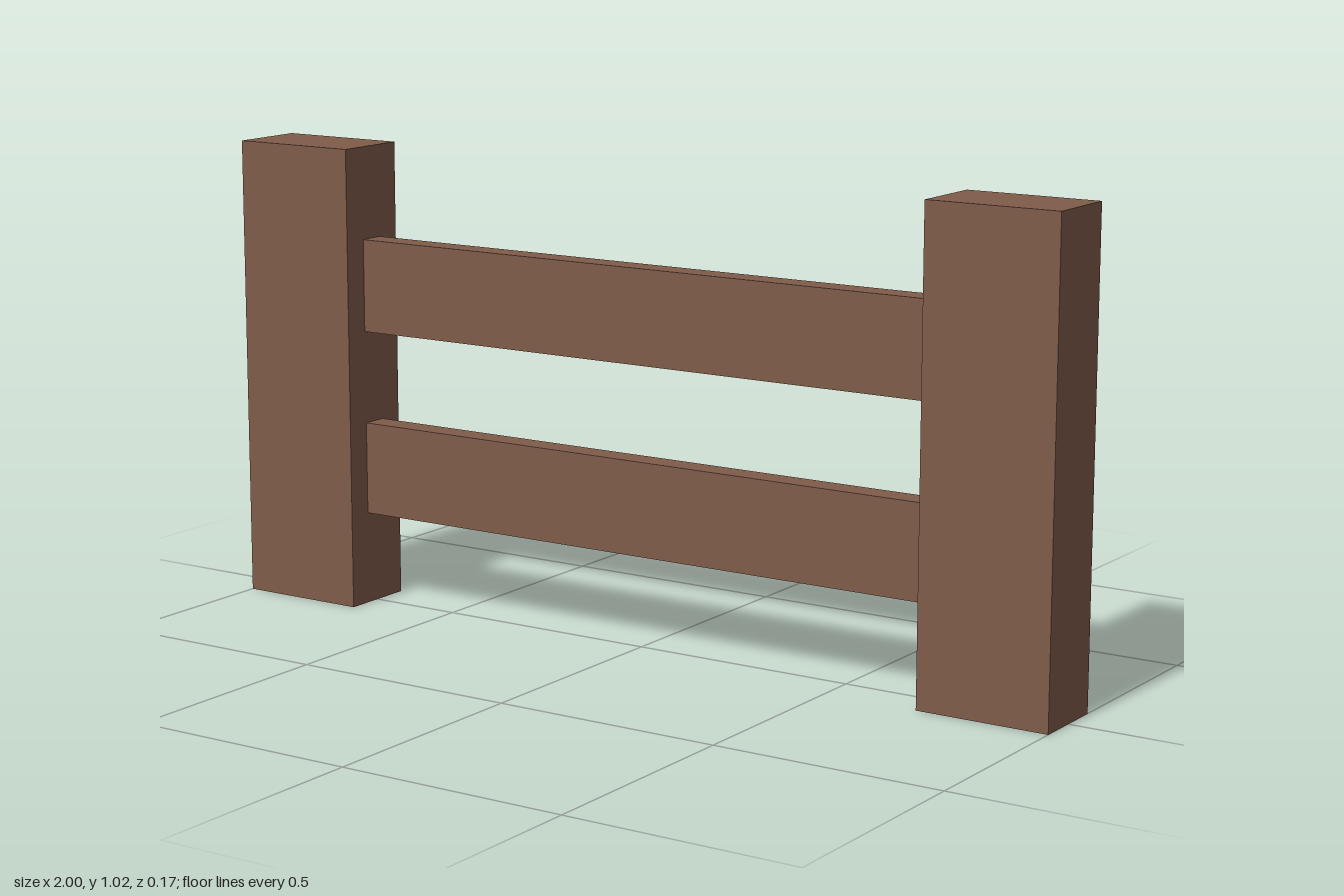
import * as THREE from 'three';

export function createModel() {
  const group = new THREE.Group();
  const wood = new THREE.MeshStandardMaterial({ color: 0x805c4a, flatShading: true });

  const addBoard = (name, [w, h, d], [x, y, z]) => {
    const mesh = new THREE.Mesh(new THREE.BoxGeometry(w, h, d), wood);
    mesh.name = name;
    mesh.position.set(x, y, z);
    group.add(mesh);
  };

  // Mirrored end posts
  const postWidth = 0.291, postHeight = 1.016, postDepth = 0.17;
  for (const [name, side] of [['leftPost', 1], ['rightPost', -1]]) {
    addBoard(name, [postWidth, postHeight, postDepth], [side * (1 - postWidth / 2), postHeight / 2, 0]);
  }

  // Horizontal rails spanning the gap between the posts
  const railLength = 2 - 2 * postWidth;
  for (const [name, y] of [['lowerRail', 0.305], ['upperRail', 0.712]]) {
    addBoard(name, [railLength, 0.203, 0.058], [0, y, 0]);
  }

  return group;
}
